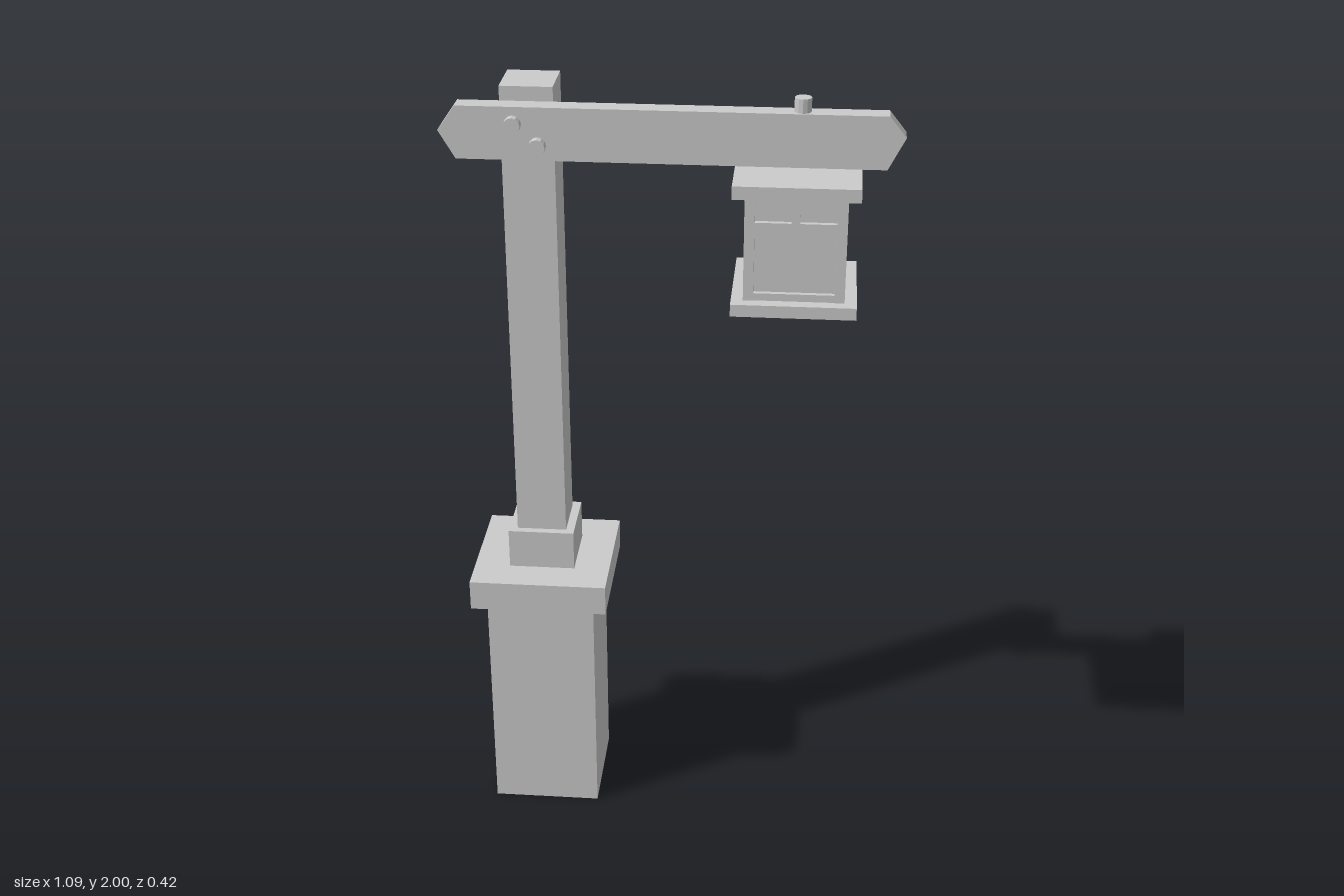
import * as THREE from 'three';

const material = new THREE.MeshStandardMaterial({ color: 0xcccccc, flatShading: true });

function add(parent, name, geometry, x, y, z) {
  const mesh = new THREE.Mesh(geometry, material);
  mesh.name = name;
  mesh.position.set(x, y, z);
  parent.add(mesh);
  return mesh;
}

// Box given by its centre in plan and its bottom and top heights
function block(parent, name, width, bottom, top, x, z, depth = width) {
  return add(parent, name, new THREE.BoxGeometry(width, top - bottom, depth), x, (bottom + top) / 2, z);
}

function createLantern() {
  const lantern = new THREE.Group();
  lantern.name = 'lantern';
  const bottom = 1.545, top = 1.803, half = 0.119, post = 0.024, inset = 0.014;

  block(lantern, 'lanternRoof', 0.295, top, 1.835, 0, 0);
  block(lantern, 'lanternFloor', 0.295, 1.515, bottom, 0, 0);
  block(lantern, 'lanternGlass', 2 * (half - inset), bottom, top, 0, 0);

  // Corner posts
  for (const sx of [-1, 1]) {
    for (const sz of [-1, 1]) {
      block(lantern, 'cornerPost', post, bottom, top, sx * (half - post / 2), sz * (half - post / 2));
    }
  }

  // Rails and a short divider on each of the four sides
  const span = 2 * (half - post);
  const z = half - inset / 2 - 0.002;
  for (let i = 0; i < 4; i++) {
    const side = new THREE.Group();
    side.name = 'windowFrame';
    side.rotation.y = i * Math.PI / 2;
    block(side, 'bottomRail', span, bottom, bottom + 0.018, 0, z, inset);
    block(side, 'middleRail', span, 1.722, 1.738, 0, z, inset);
    block(side, 'topRail', span, top - 0.016, top, 0, z, inset);
    block(side, 'divider', 0.02, 1.738, top - 0.016, 0, z, inset);
    lantern.add(side);
  }
  lantern.position.set(0.298, 0, 0.0625);
  return lantern;
}

export function createModel() {
  const model = new THREE.Group();
  model.name = 'lampPost';
  const px = -0.341, pz = -0.035;

  // Pedestal and post
  block(model, 'pedestal', 0.28, 0, 0.63, px, pz);
  block(model, 'pedestalCap', 0.354, 0.63, 0.71, px, pz);
  block(model, 'collar', 0.17, 0.71, 0.815, px, pz);
  block(model, 'post', 0.127, 0.815, 2, px, pz, 0.131);

  // Cross beam with pointed ends
  const outline = new THREE.Shape([
    [-0.545, 1.905], [-0.505, 1.837], [0.503, 1.837],
    [0.543, 1.915], [0.503, 1.965], [-0.503, 1.965],
  ].map(([x, y]) => new THREE.Vector2(x, y)));
  const beam = new THREE.ExtrudeGeometry(outline, { depth: 0.048, bevelEnabled: false });
  add(model, 'beam', beam, 0, 0, 0.03);

  // Bolts through beam and post
  const bolt = new THREE.CylinderGeometry(0.02, 0.02, 0.035, 12);
  for (const [x, y] of [[-0.367, 1.925], [-0.31, 1.874]]) {
    for (const z of [0.083, -0.103]) {
      add(model, 'bolt', bolt, x, y, z).rotation.x = Math.PI / 2;
    }
  }
  add(model, 'hangerBolt', bolt, 0.304, 1.981, 0.054);

  model.add(createLantern());
  return model;
}
